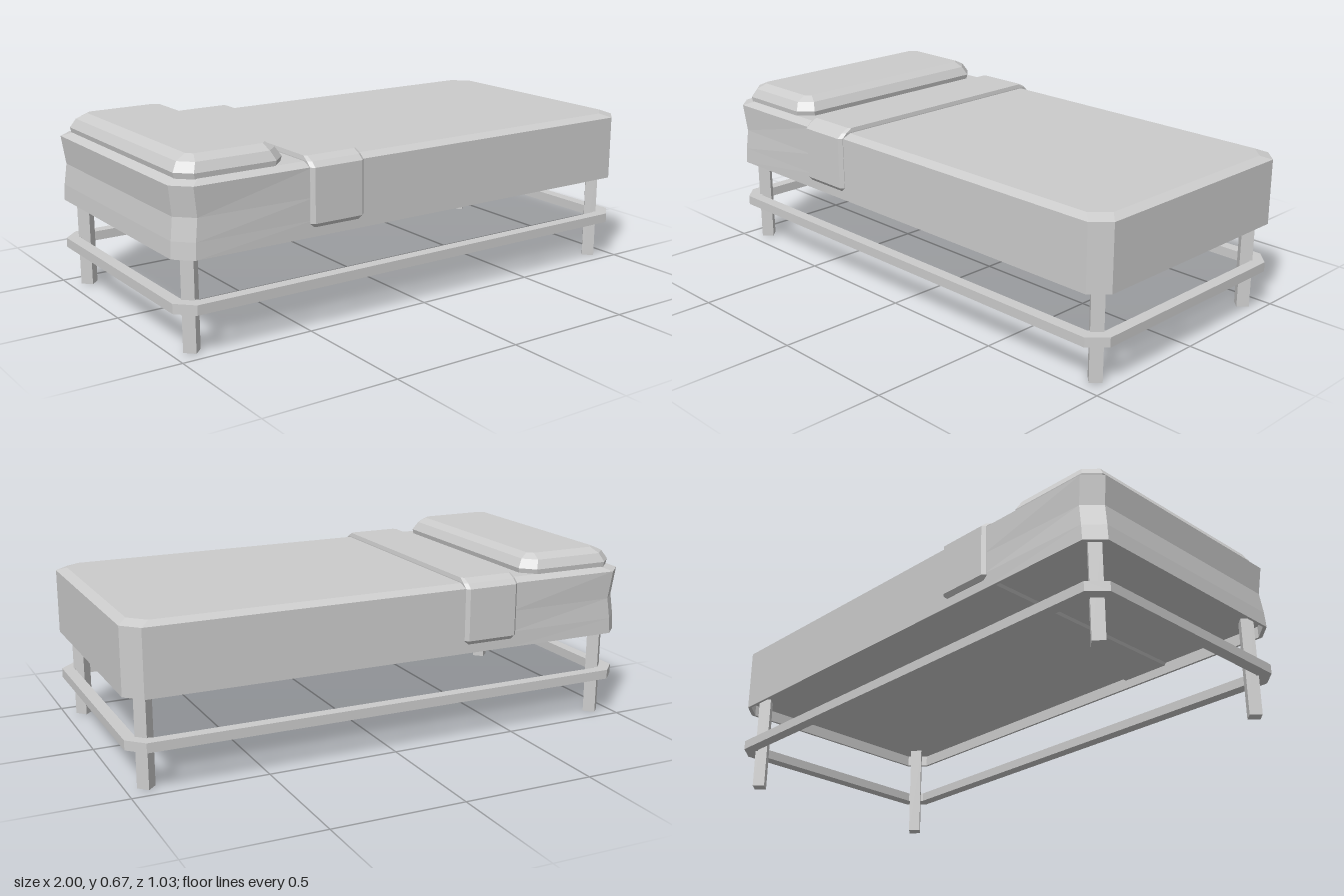
import * as THREE from 'three';

const material = new THREE.MeshStandardMaterial({ color: 0xcccccc, flatShading: true, side: THREE.DoubleSide });

// Rectangle with cut corners at height y, counter-clockwise from above
function ring(x0, x1, z, c, y) {
  return [
    [x1, y, z - c], [x1, y, c - z], [x1 - c, y, -z], [x0 + c, y, -z],
    [x0, y, c - z], [x0, y, z - c], [x0 + c, y, z], [x1 - c, y, z],
  ];
}

// Closed solid through a stack of rings, first to last
function loft(rings) {
  const pos = [];
  const tri = (a, b, c) => pos.push(...a, ...b, ...c);
  const n = rings[0].length;
  for (let r = 0; r < rings.length - 1; r++) {
    for (let i = 0; i < n; i++) {
      const j = (i + 1) % n, lo = rings[r], hi = rings[r + 1];
      tri(lo[i], lo[j], hi[j]);
      tri(lo[i], hi[j], hi[i]);
    }
  }
  const bottom = rings[0], top = rings[rings.length - 1];
  for (let i = 1; i < n - 1; i++) {
    tri(bottom[0], bottom[i + 1], bottom[i]);
    tri(top[0], top[i], top[i + 1]);
  }
  const g = new THREE.BufferGeometry();
  g.setAttribute('position', new THREE.Float32BufferAttribute(pos, 3));
  g.computeVertexNormals();
  return g;
}

// Mattress ring with extra points under the blanket fold; pinch draws the head corners in
function mattressRing(inset, y, pinch = 0) {
  const p = ring(-1 + inset, 1 - inset, 0.5 - inset, 0.06, y);
  for (const i of [3, 4, 5, 6]) {
    p[i][0] += pinch;
    p[i][2] -= Math.sign(p[i][2]) * pinch * 0.5;
  }
  const z = 0.5 - inset;
  p.splice(7, 0, [-0.48, y, z]);
  p.splice(3, 0, [-0.48, y, -z]);
  return p;
}

export function createModel() {
  const bed = new THREE.Group();
  bed.name = 'bed';
  const add = (name, geometry) => {
    const mesh = new THREE.Mesh(geometry, material);
    mesh.name = name;
    bed.add(mesh);
    return mesh;
  };

  // Blanket-covered mattress: recessed underside, hanging hem, softly bevelled top
  add('mattress', loft([
    mattressRing(0.01, 0.385),
    mattressRing(0.01, 0.34),
    mattressRing(0, 0.34),
    mattressRing(0, 0.4, 0.004),
    mattressRing(0, 0.48, 0.014),
    mattressRing(0, 0.587),
    mattressRing(0.035, 0.602),
  ]));

  // Folded-over blanket band
  add('blanketFold', loft([
    ring(-0.49, -0.29, 0.503, 0.01, 0.375),
    ring(-0.5, -0.28, 0.515, 0.013, 0.39),
    ring(-0.5, -0.28, 0.515, 0.013, 0.587),
    ring(-0.5, -0.28, 0.495, 0.013, 0.605),
    ring(-0.497, -0.283, 0.465, 0.01, 0.62),
  ]));

  // Pillow
  add('pillow', loft([
    ring(-0.965, -0.565, 0.465, 0.05, 0.595),
    ring(-0.97, -0.56, 0.468, 0.05, 0.62),
    ring(-0.95, -0.58, 0.45, 0.045, 0.653),
    ring(-0.91, -0.61, 0.412, 0.02, 0.672),
  ]));

  // Lower rail running round all four legs
  const outline = (x, z, c) => ring(-x, x, z, c, 0).map((p) => new THREE.Vector2(p[0], p[2]));
  const frame = new THREE.Shape(outline(1, 0.5, 0.06));
  frame.holes.push(new THREE.Path(outline(0.955, 0.455, 0.045)));
  const rail = add('lowerRail', new THREE.ExtrudeGeometry(frame, { depth: 0.036, bevelEnabled: false }));
  rail.rotation.x = Math.PI / 2;
  rail.position.y = 0.188;

  // Four slim square legs, set diagonally and reaching up to the underside
  const legGeometry = new THREE.CylinderGeometry(0.033, 0.033, 0.385, 4);
  for (const x of [-0.925, 0.925]) {
    for (const z of [-0.422, 0.422]) {
      add('leg', legGeometry).position.set(x, 0.1925, z);
    }
  }
  return bed;
}
